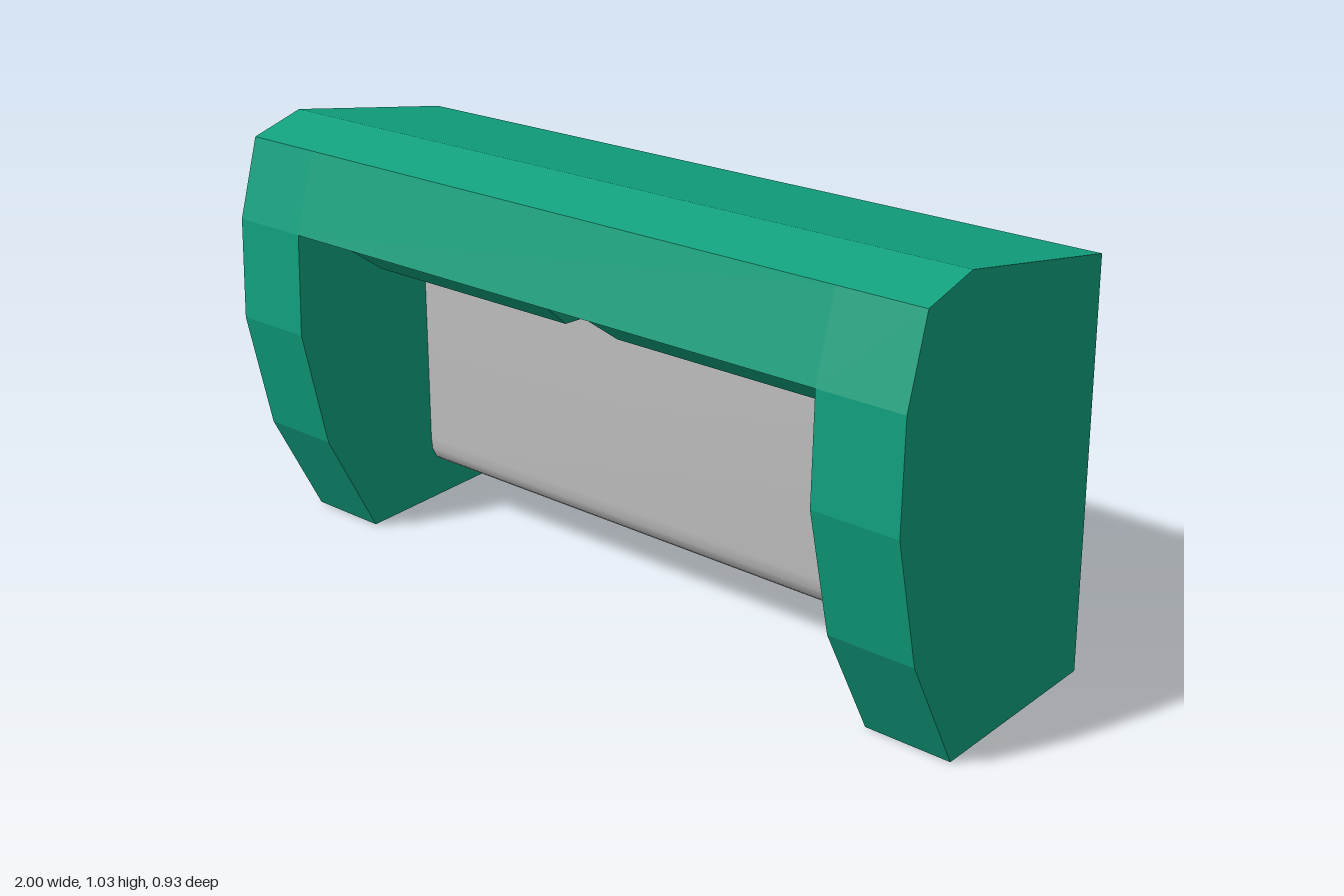
import * as THREE from 'three';
import { toCreasedNormals } from 'three/addons/utils/BufferGeometryUtils.js';

const mat = (name, color) => {
  const m = new THREE.MeshStandardMaterial({ color });
  m.name = name;
  return m;
};

// Extrudes a [z, y] profile along x, from x0 to x1
function profileAlongX(points, x0, x1) {
  const shape = new THREE.Shape(points.map(([z, y]) => new THREE.Vector2(-z, y)));
  const geo = new THREE.ExtrudeGeometry(shape, { depth: x1 - x0, bevelEnabled: false });
  return geo.rotateY(Math.PI / 2).translate(x0, 0, 0);
}

// Box whose low and high ends along one axis have different sizes.
// min and max are the corners of the big box; inset(p, sign) moves a corner.
function taperedBox(place) {
  const geo = new THREE.BoxGeometry(2, 2, 2).toNonIndexed();
  const pos = geo.attributes.position;
  for (let i = 0; i < pos.count; i++) {
    pos.setXYZ(i, ...place(pos.getX(i), pos.getY(i), pos.getZ(i)));
  }
  geo.computeVertexNormals();
  return geo;
}

export function createModel() {
  const model = new THREE.Group();
  const green = mat('green', 0x109f7c);
  const darkGrey = mat('darkGrey', 0x444444);
  const lightGrey = mat('lightGrey', 0xbebebe);

  const add = (name, geo, material) => {
    const mesh = new THREE.Mesh(geo, material);
    mesh.name = name;
    model.add(mesh);
    return mesh;
  };

  // Faceted end cheeks
  const cheek = [
    [0.265, 0], [0.4, 0.26], [0.463, 0.55], [0.455, 0.797],
    [0.4, 0.99], [0.265, 1.035], [-0.182, 0.97], [-0.182, 0.037],
  ];
  add('leftCheek', profileAlongX(cheek, 0.783, 1), green);
  add('rightCheek', profileAlongX(cheek, -1, -0.783), green);

  // Hood joining the cheeks, with a sloping underside
  const hood = [
    [0.455, 0.797], [0.4, 0.99], [0.265, 1.035], [-0.182, 0.97], [-0.182, 0.715],
    [0.07, 0.747],
  ];
  add('hood', profileAlongX(hood, -0.783, 0.783), green);

  // Two tapered blocks hanging under the hood
  for (const [name, cx] of [['leftHoodBlock', 0.395], ['rightHoodBlock', -0.395]]) {
    add(name, taperedBox((x, y, z) => y > 0
      ? [cx + x * 0.35, z > 0 ? 0.79 : 0.755, z > 0 ? 0.4 : 0.1]
      : [cx + x * 0.315, 0.69, z > 0 ? 0.27 : 0.15]), green);
  }

  // Recessed front panel with a rounded lower edge
  const panel = [
    [-0.08, 0.1], [-0.01, 0.1], [0.03, 0.108], [0.055, 0.125],
    [0.067, 0.15], [0.07, 0.18], [0.07, 0.76], [-0.08, 0.74],
  ];
  add('frontPanel', toCreasedNormals(profileAlongX(panel, -0.79, 0.79), 0.7), lightGrey);

  // Tapered back base, reaching into the housing
  add('backBase', taperedBox((x, y, z) => {
    const back = z < 0;
    return [x * (back ? 0.872 : 0.908), 0.493 + y * (back ? 0.38 : 0.415), back ? -0.367 : -0.08];
  }), darkGrey);

  // Four small pegs on the back
  for (const sx of [-1, 1]) {
    for (const cy of [0.203, 0.781]) {
      const side = sx > 0 ? 'left' : 'right';
      add(`${side}${cy > 0.5 ? 'Upper' : 'Lower'}Peg`, taperedBox((x, y, z) => {
        const r = z < 0 ? 0.029 : 0.033;
        return [sx * 0.781 + x * r, cy + y * r, z < 0 ? -0.462 : -0.36];
      }), lightGrey);
    }
  }

  return model;
}
